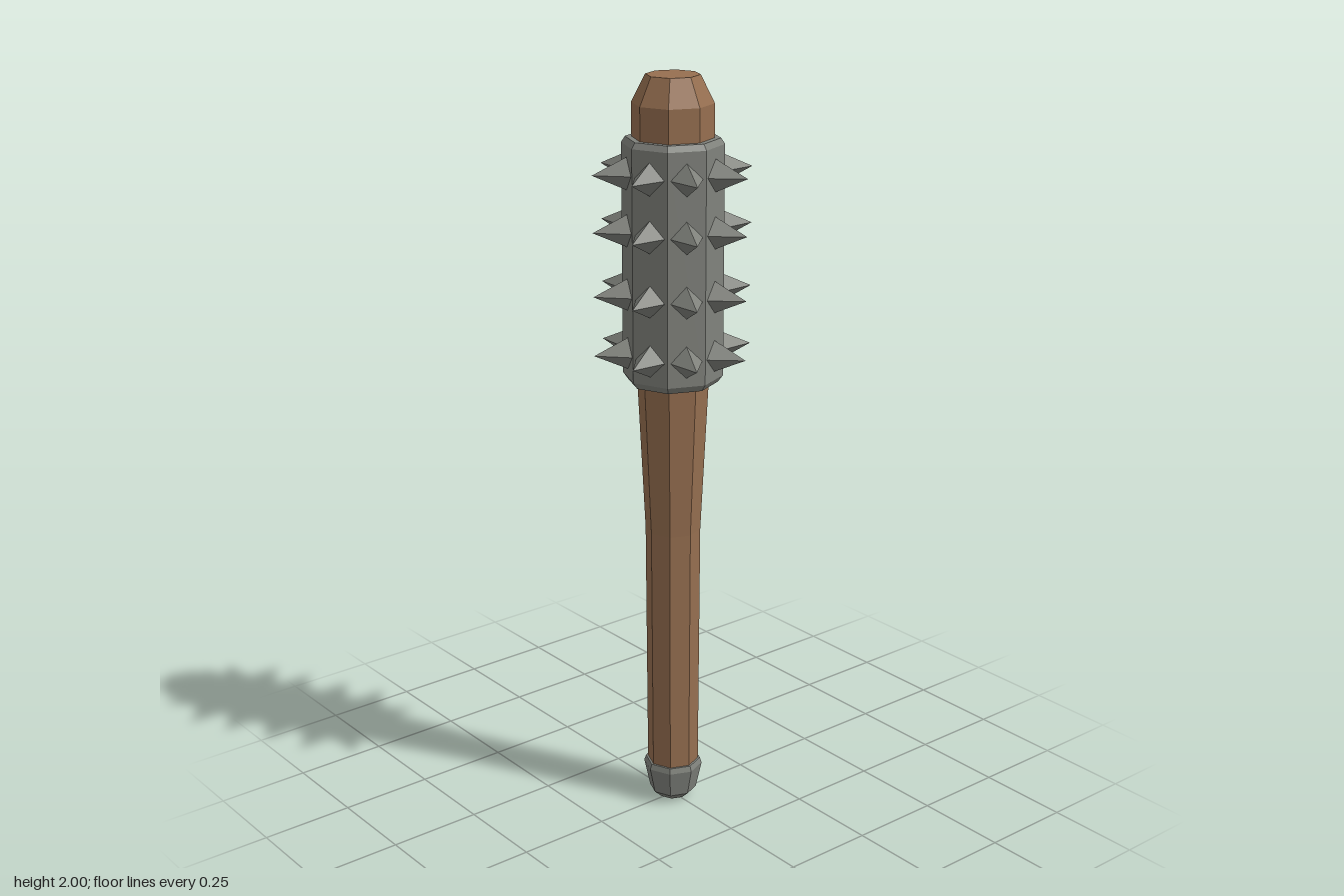
import * as THREE from 'three';

const SIDES = 8;

export function createModel() {
  const wood = new THREE.MeshStandardMaterial({ name: 'wood', color: 0x966f50, flatShading: true });
  const metal = new THREE.MeshStandardMaterial({ name: 'grey metal', color: 0x80827c, flatShading: true });
  const club = new THREE.Group();
  club.name = 'spikedClub';

  // Eight-sided turned part from [radius, height] pairs, bottom to top
  function turned(name, profile, material) {
    const points = profile.map(([r, y]) => new THREE.Vector2(r, y));
    const mesh = new THREE.Mesh(new THREE.LatheGeometry(points, SIDES), material);
    mesh.name = name;
    club.add(mesh);
  }

  // Wooden shaft, widening to a chamfered head
  turned('shaft', [[0, 0.06], [0.069, 0.06], [0.073, 0.8], [0.093, 1.21],
    [0.104, 1.84], [0.104, 1.93], [0.069, 2], [0, 2]], wood);

  // Metal cap on the handle end
  turned('pommel', [[0, 0], [0.04, 0.003], [0.064, 0.025], [0.08, 0.1],
    [0.075, 0.115], [0.06, 0.115]], metal);

  // Metal sleeve with bevelled rims
  turned('sleeve', [[0.085, 1.212], [0.117, 1.212], [0.13, 1.23],
    [0.13, 1.83], [0.12, 1.845], [0.095, 1.845]], metal);

  // Four rings of pyramid spikes, one on each face of the sleeve
  const base = 0.117, tip = 0.209;
  const spikeShape = new THREE.ConeGeometry(0.043, tip - base, 4, 1, true);
  spikeShape.rotateZ(-Math.PI / 2).translate((base + tip) / 2, 0, 0);
  for (const y of [1.295, 1.45, 1.615, 1.76]) {
    const ring = new THREE.Group();
    ring.name = 'spikeRing';
    ring.position.y = y;
    for (let i = 0; i < SIDES; i++) {
      const spike = new THREE.Mesh(spikeShape, metal);
      spike.name = 'spike';
      spike.rotation.y = (i + 0.5) * Math.PI * 2 / SIDES;
      ring.add(spike);
    }
    club.add(ring);
  }
  return club;
}
